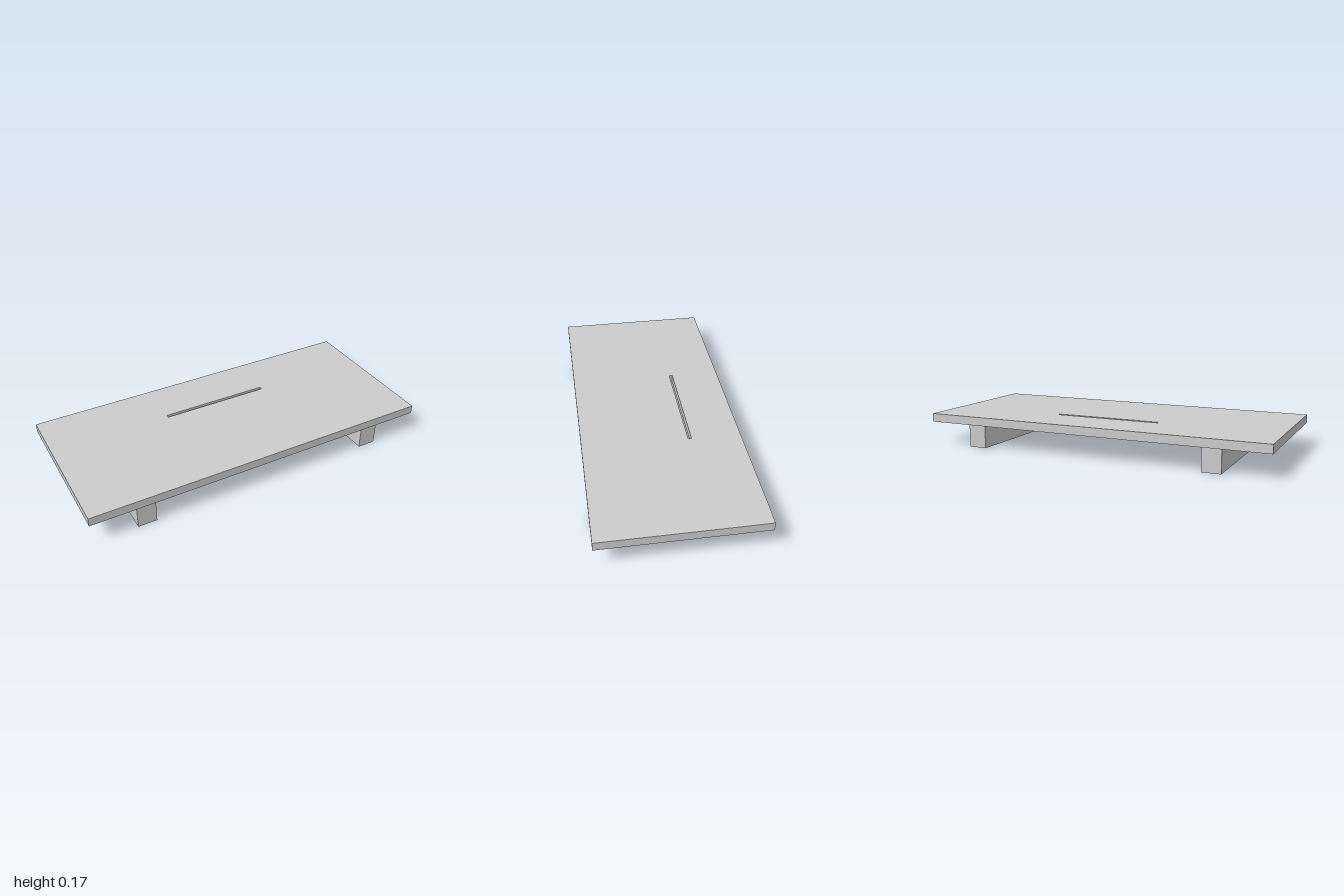
import * as THREE from 'three';

const LENGTH = 1.944, WIDTH = 0.85, LEG_HEIGHT = 0.125, THICKNESS = 0.047;

// Adds a centred rectangle outline to a shape or path
function rectangle(path, cx, cy, w, h) {
  path.moveTo(cx - w / 2, cy - h / 2);
  path.lineTo(cx + w / 2, cy - h / 2);
  path.lineTo(cx + w / 2, cy + h / 2);
  path.lineTo(cx - w / 2, cy + h / 2);
  path.closePath();
  return path;
}

export function createModel() {
  const model = new THREE.Group();
  model.name = 'slottedPlatform';
  const grey = new THREE.MeshStandardMaterial({ color: 0xcccccc });
  grey.name = 'light grey';

  // Flat top with a narrow slot cut right through it
  const outline = rectangle(new THREE.Shape(), 0, 0, LENGTH, WIDTH);
  outline.holes.push(rectangle(new THREE.Path(), 0.003, 0.15, 0.604, 0.018));
  const topGeometry = new THREE.ExtrudeGeometry(outline, { depth: THICKNESS, bevelEnabled: false });
  topGeometry.rotateX(-Math.PI / 2);
  const top = new THREE.Mesh(topGeometry, grey);
  top.name = 'slottedTop';
  top.position.y = LEG_HEIGHT;
  model.add(top);

  // Two cross bars carrying the top, slightly shorter than its width
  for (const side of [-1, 1]) {
    const leg = new THREE.Mesh(new THREE.BoxGeometry(0.102, LEG_HEIGHT, 0.831), grey);
    leg.name = side < 0 ? 'rightCrossBar' : 'leftCrossBar';
    leg.position.set(side * 0.676, LEG_HEIGHT / 2, 0);
    model.add(leg);
  }

  // The whole platform stands diagonally
  model.rotation.y = THREE.MathUtils.degToRad(46.7);
  return model;
}
